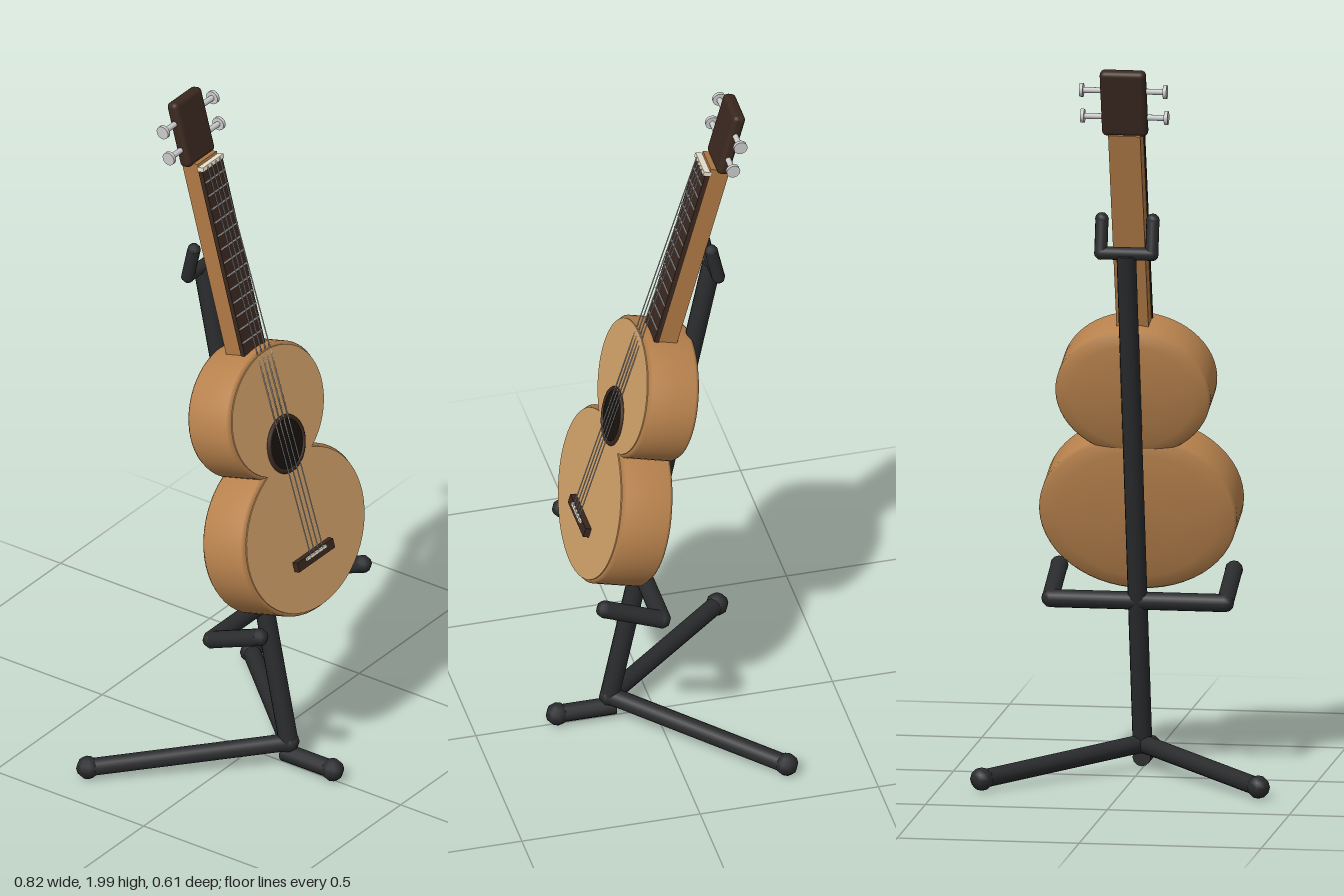
import * as THREE from 'three';
import { RoundedBoxGeometry } from 'three/addons/geometries/RoundedBoxGeometry.js';

const mat = (color) => new THREE.MeshStandardMaterial({ color });
const M = {
  side: mat(0xb8824d), top: mat(0xd0a068), neck: mat(0xb07a45), dark: mat(0x3a281f),
  hole: mat(0x17110d), metal: mat(0xc8c8c8), ivory: mat(0xeee6d2), stand: mat(0x2a2b2d),
};
const V = (x, y, z) => new THREE.Vector3(x, y, z);

function add(parent, name, geometry, material, x = 0, y = 0, z = 0) {
  const mesh = new THREE.Mesh(geometry, material);
  mesh.name = name;
  mesh.position.set(x, y, z);
  parent.add(mesh);
  return mesh;
}

// Round bar between two points
function bar(parent, name, a, b, radius, material, sides = 12) {
  const dir = b.clone().sub(a);
  const mesh = add(parent, name, new THREE.CylinderGeometry(radius, radius, dir.length(), sides), material);
  mesh.position.copy(a).lerp(b, 0.5);
  mesh.quaternion.setFromUnitVectors(V(0, 1, 0), dir.normalize());
  return mesh;
}

// One bout: elliptical shell with a domed back and a bevelled front rim, plus its soundboard
function bout(parent, name, rx, ry, y) {
  const profile = [
    [0, -0.17], [rx * 0.45, -0.167], [rx * 0.8, -0.158], [rx * 0.97, -0.148],
    [rx, -0.138], [rx, -0.075], [rx, -0.012], [rx - 0.01, -0.002], [0, -0.002],
  ].map(([r, h]) => new THREE.Vector2(r, h));
  const shell = new THREE.LatheGeometry(profile, 56);
  shell.rotateX(Math.PI / 2).scale(1, ry / rx, 1);
  add(parent, name + 'Shell', shell, M.side, 0, y, 0);
  const board = new THREE.CylinderGeometry(rx - 0.01, rx - 0.01, 0.01, 56);
  board.rotateX(Math.PI / 2).scale(1, ry / rx, 1);
  add(parent, name + 'Soundboard', board, M.top, 0, y, -0.004);
}

function buildGuitar() {
  const g = new THREE.Group();
  g.name = 'guitar';

  // Body
  bout(g, 'lowerBout', 0.272, 0.229, 0.229);
  bout(g, 'upperBout', 0.213, 0.186, 0.586);

  // Sound hole and rosette
  const disc = new THREE.CylinderGeometry(0.074, 0.074, 0.006, 40).rotateX(Math.PI / 2);
  add(g, 'soundHole', disc, M.hole, 0, 0.487, 0.002);
  add(g, 'rosette', new THREE.TorusGeometry(0.075, 0.007, 8, 40), M.dark, 0, 0.487, 0.002);

  // Bridge and saddle
  add(g, 'bridge', new THREE.BoxGeometry(0.165, 0.028, 0.02), M.dark, 0, 0.155, 0.008);
  add(g, 'saddle', new THREE.BoxGeometry(0.09, 0.008, 0.012), M.ivory, 0, 0.163, 0.018);

  // Neck, fretboard and nut
  add(g, 'neck', new THREE.BoxGeometry(0.088, 0.6, 0.055), M.neck, 0, 1.04, -0.07);
  add(g, 'fretboard', new THREE.BoxGeometry(0.094, 0.58, 0.014), M.dark, 0, 1.03, -0.037);
  add(g, 'nut', new THREE.BoxGeometry(0.094, 0.012, 0.022), M.ivory, 0, 1.326, -0.035);
  for (let i = 0; i < 13; i++) {
    add(g, 'fret', new THREE.BoxGeometry(0.09, 0.004, 0.004), M.metal, 0, 1.286 - i * 0.04, -0.029);
  }

  // Headstock with two tuners on each side
  add(g, 'headstock', new RoundedBoxGeometry(0.126, 0.192, 0.036, 3, 0.014), M.dark, 0, 1.43, -0.075);
  for (const s of [-1, 1]) {
    for (const y of [1.388, 1.466]) {
      bar(g, 'tunerShaft', V(s * 0.055, y, -0.075), V(s * 0.115, y, -0.075), 0.008, M.metal);
      bar(g, 'tunerButton', V(s * 0.11, y, -0.075), V(s * 0.12, y, -0.075), 0.019, M.metal, 16);
    }
  }

  // Strings
  for (const x of [-0.028, -0.0093, 0.0093, 0.028]) {
    bar(g, 'string', V(x, 0.16, 0.023), V(x, 1.328, -0.023), 0.0018, M.metal, 6);
  }

  // Lean back on the stand
  g.position.set(0, 0.54, 0.24);
  g.rotation.x = -THREE.MathUtils.degToRad(15);
  return g;
}

function buildStand() {
  const g = new THREE.Group();
  g.name = 'stand';
  const ball = (name, p, r) =>
    add(g, name, new THREE.SphereGeometry(r, 8, 6), M.stand, p.x, p.y, p.z);

  // Pole and hub
  const hub = V(0, 0.072, 0.125), yoke = V(0, 1.475, -0.162);
  bar(g, 'pole', hub, yoke, 0.027, M.stand);
  ball('hub', hub, 0.03);

  // Tripod legs with rubber feet
  for (const foot of [V(-0.38, 0.036, -0.274), V(0.38, 0.036, -0.274), V(0, 0.036, 0.272)]) {
    const start = foot.x ? hub : V(0, 0.036, 0.11);
    bar(g, 'leg', start, foot, 0.025, M.stand);
    ball('foot', foot, 0.032);
  }

  // Lower cradle
  bar(g, 'cradleBar', V(-0.24, 0.482, 0.04), V(0.24, 0.482, 0.04), 0.025, M.stand);
  // Upper neck yoke
  bar(g, 'yokeBar', V(-0.07, 1.478, -0.162), V(0.07, 1.478, -0.162), 0.018, M.stand);
  for (const s of [-1, 1]) {
    const elbow = V(s * 0.24, 0.482, 0.04), tip = V(s * 0.24, 0.545, 0.2);
    bar(g, 'cradleArm', elbow, tip, 0.024, M.stand);
    ball('cradleElbow', elbow, 0.025);
    ball('cradleTip', tip, 0.025);
    const corner = V(s * 0.07, 1.478, -0.162), prong = V(s * 0.07, 1.568, -0.142);
    bar(g, 'yokeProng', corner, prong, 0.018, M.stand);
    ball('yokeCorner', corner, 0.019);
    ball('yokeTip', prong, 0.019);
  }
  return g;
}

export function createModel() {
  const model = new THREE.Group();
  model.name = 'guitarOnStand';
  model.add(buildGuitar(), buildStand());
  return model;
}
